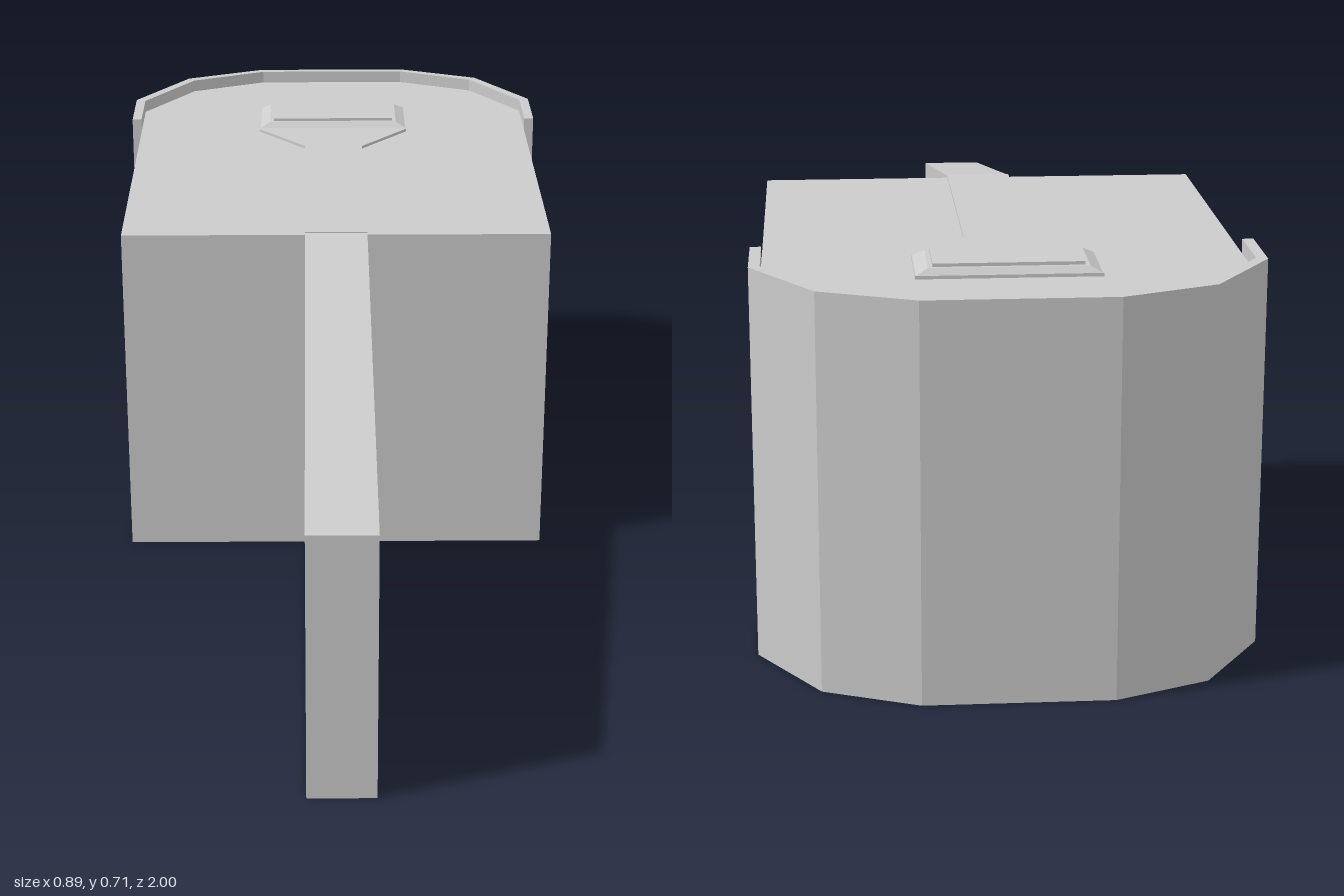
import * as THREE from 'three';

export function createModel() {
  const model = new THREE.Group();
  const material = new THREE.MeshStandardMaterial({ color: 0xcccccc, flatShading: true });

  const add = (name, geometry) => {
    const mesh = new THREE.Mesh(geometry, material);
    mesh.name = name;
    model.add(mesh);
    return mesh;
  };

  // Closed outline from one half: [x, z] points mirrored across x = 0
  const mirrored = (half) => [...half, ...half.map(([x, z]) => [-x, z]).reverse()];

  // Vertical prism with a plan outline in x and z
  const prism = (name, outline, y0, y1) => {
    const shape = new THREE.Shape(outline.map(([x, z]) => new THREE.Vector2(x, -z)));
    const geometry = new THREE.ExtrudeGeometry(shape, { depth: y1 - y0, bevelEnabled: false });
    geometry.rotateX(-Math.PI / 2).translate(0, y0, 0);
    return add(name, geometry);
  };

  // Plan lines of the faceted rear wall
  const inner = [[0.427, -0.62], [0.427, -0.758], [0.322, -0.915], [0.162, -0.984]];
  const outer = [[0.447, -0.62], [0.447, -0.765], [0.335, -0.931], [0.166, -1]];

  // Main block, with the rear fitted to the wall
  prism('body', mirrored([[0.427, 0.045], ...inner]), 0, 0.686);

  // Thin wrap-around wall rising slightly above the block
  prism('rearWall', [...mirrored(outer), ...mirrored(inner).reverse()], 0, 0.712);

  // Raised strip flaring out into the pad at the rear
  prism('topStrip', mirrored([[0.062, 0.045], [0.062, -0.49], [0.163, -0.61], [0.163, -0.767]]), 0.68, 0.692);

  // Pad with sloped sides and a thin plate on top
  const pad = new THREE.BoxGeometry(0.326, 0.012, 0.15);
  const p = pad.attributes.position;
  for (let i = 0; i < p.count; i++) {
    if (p.getY(i) > 0) p.setXYZ(i, p.getX(i) * 0.86, p.getY(i), p.getZ(i) * 0.85);
  }
  pad.computeVertexNormals();
  add('pad', pad).position.set(0, 0.697, -0.692);
  add('padPlate', new THREE.BoxGeometry(0.264, 0.008, 0.115)).position.set(0, 0.705, -0.692);

  // Long front fin sloping down toward its tip
  const side = new THREE.Shape([[-0.045, 0], [-0.045, 0.69], [-1, 0.515], [-1, 0]].map(([x, y]) => new THREE.Vector2(x, y)));
  const fin = new THREE.ExtrudeGeometry(side, { depth: 0.124, bevelEnabled: false });
  fin.translate(0, 0, -0.062).rotateY(Math.PI / 2);
  add('frontFin', fin);

  return model;
}
